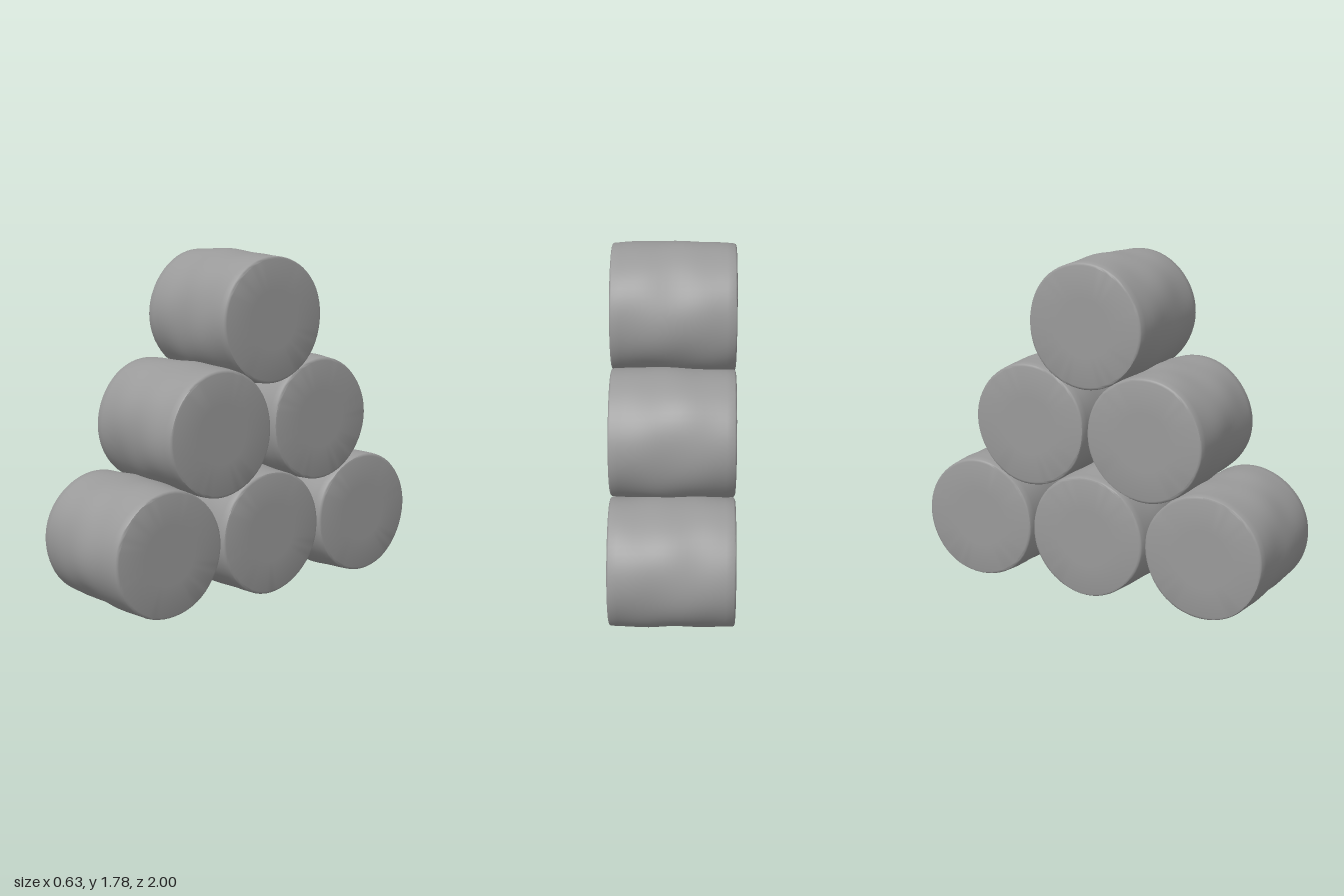
import * as THREE from 'three';
import { mergeVertices, toCreasedNormals } from 'three/addons/utils/BufferGeometryUtils.js';

const HALF = 0.313; // half the length of a log
const RADIUS = 0.321; // radius at the rim of the cut ends

// One log lying along x: a lathe with softly rounded rims and a gently uneven bark surface
function logGeometry(seed) {
  const profile = [[0, -HALF], [0.15, -HALF], [0.308, -HALF], [0.317, -HALF + 0.003], [RADIUS, -HALF + 0.01]];
  const rings = 16;
  for (let i = 1; i < rings; i++) profile.push([RADIUS, (HALF - 0.01) * (2 * i / rings - 1)]);
  for (let i = 4; i >= 0; i--) profile.push([profile[i][0], -profile[i][1]]);

  let geo = new THREE.LatheGeometry(profile.map(([r, y]) => new THREE.Vector2(r, y)), 56);
  geo.rotateZ(-Math.PI / 2);
  geo.deleteAttribute('uv');
  geo.deleteAttribute('normal');
  geo = mergeVertices(geo, 1e-4);

  // Swell the middle and add slow waves along and around the bark
  const p = geo.attributes.position;
  for (let i = 0; i < p.count; i++) {
    const x = p.getX(i), y = p.getY(i), z = p.getZ(i);
    const a = Math.atan2(y, z);
    const belly = 1 - (x / HALF) ** 2;
    const wave = 0.004 * Math.sin(3 * a + 7 * x + seed * 1.7)
      + 0.003 * Math.sin(5 * a - 11 * x + seed * 2.9)
      + 0.002 * Math.sin(2 * a + 26 * x + seed);
    const s = 1 + (0.01 * belly + wave * (0.35 + 0.65 * belly)) / RADIUS;
    p.setXYZ(i, x, y * s, z * s);
  }
  return toCreasedNormals(geo, 0.7);
}

export function createModel() {
  const group = new THREE.Group();
  group.name = 'logPile';
  const material = new THREE.MeshStandardMaterial({ color: 0x9a9a9a });

  // Rows of three, two and one, stacked as a pyramid
  const rows = [
    { name: 'bottomLog', y: 0.342, z: [0.662, 0, -0.66] },
    { name: 'middleLog', y: 0.9, z: [0.33, -0.338] },
    { name: 'topLog', y: 1.446, z: [-0.008] },
  ];
  let seed = 1;
  for (const row of rows) {
    row.z.forEach((z, i) => {
      const log = new THREE.Mesh(logGeometry(seed++), material);
      log.name = row.name + (i + 1);
      log.position.set(0, row.y, z);
      group.add(log);
    });
  }
  return group;
}
